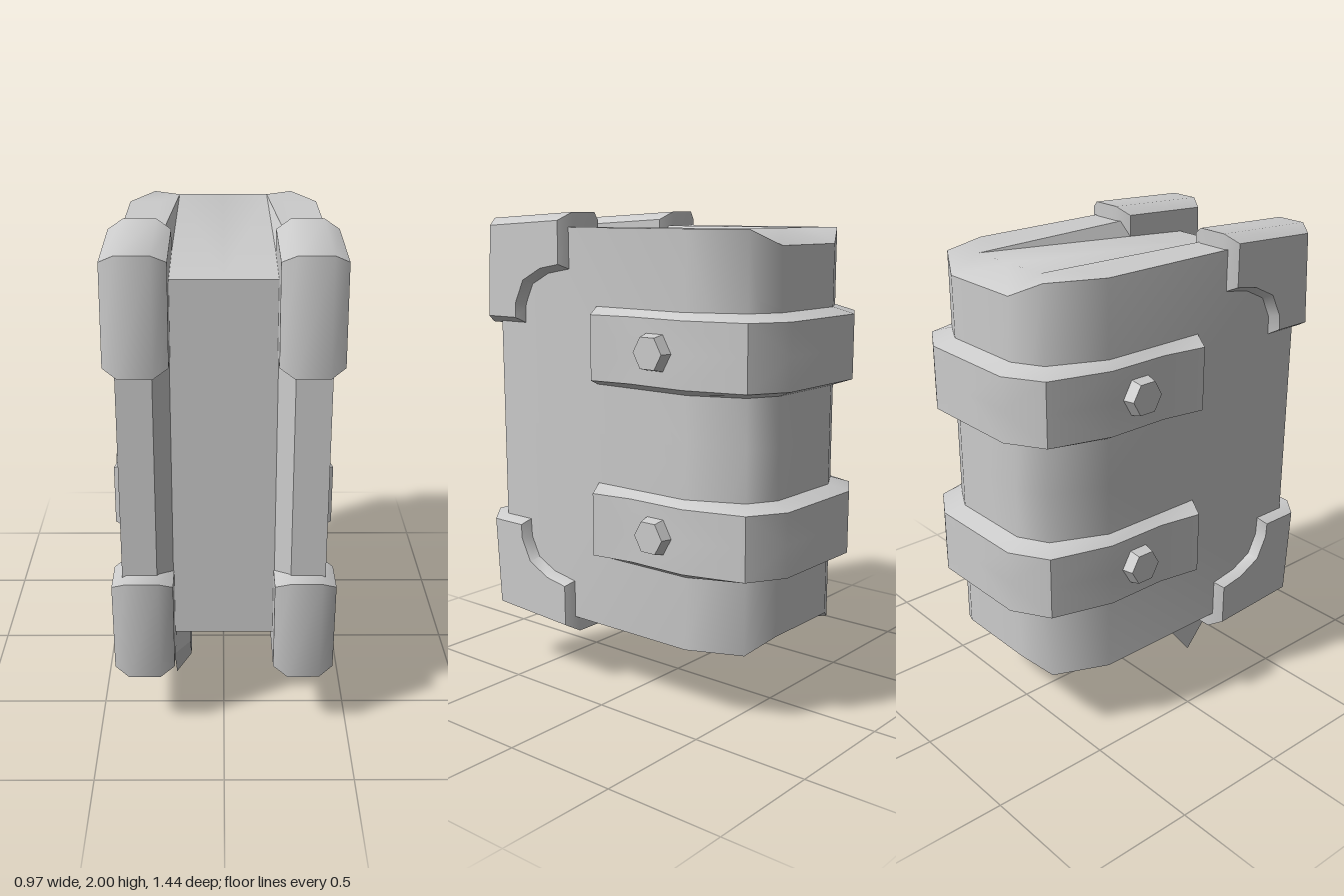
import * as THREE from 'three';
import { toCreasedNormals } from 'three/addons/utils/BufferGeometryUtils.js';

const material = new THREE.MeshStandardMaterial({ color: 0xcccccc });

function part(name, geometry, crease = 0.72) {
  const mesh = new THREE.Mesh(toCreasedNormals(geometry, crease), material);
  mesh.name = name;
  return mesh;
}

// Mirrors the faces of the upper left quarter (x > 0, y > 0) into all four quarters.
function fourfold(faces) {
  const out = [];
  for (const sx of [1, -1]) for (const sy of [1, -1]) {
    for (const face of faces) {
      for (let i = 1; i < face.length - 1; i++) {
        const tri = [face[0], face[i], face[i + 1]];
        if (sx * sy < 0) tri.reverse();
        for (const [x, y, z] of tri) out.push(x * sx, y * sy, z);
      }
    }
  }
  const geometry = new THREE.BufferGeometry();
  geometry.setAttribute('position', new THREE.Float32BufferAttribute(out, 3));
  return geometry;
}

// Vertical walls from each rim point down to the middle plane.
function walls(rim) {
  return rim.slice(1).map((b, i) => {
    const a = rim[i];
    return [a, [a[0], 0, a[2]], [b[0], 0, b[2]], b];
  });
}

// Covers, rounded spine and sloping page block in one shell.
function bookBody() {
  const h = 0.82;
  const o0 = [0.395, h, 0.65], o1 = [0.395, h, -0.36], o2 = [0.3, h, -0.58], o3 = [0.18, 0.76, -0.645];
  const i0 = [0.26, h, 0.65], i1 = [0.26, h, -0.36], i2 = [0.19, h, -0.51];
  const page = [0.2, 0.735, 0.56], pageMid = [0, 0.735, 0.56];
  const ridgeMid = [0, h, -0.51], spineMid = [0, 0.76, -0.645];
  return fourfold([
    [o0, o1, i1, i0], [o1, o2, i2, i1], [o2, o3, i2], // cover edges
    [o3, spineMid, ridgeMid, i2],                     // spine end
    [i2, ridgeMid, pageMid, page],                    // page edges
    [i0, i1, i2, page],                               // inside of cover
    ...walls([pageMid, page, i0, o0, o1, o2, o3, spineMid]),
  ]);
}

// Bevelled band wrapped round the spine.
function strapGeometry() {
  const inner = [[0.393, 0.095], [0.393, -0.12], [0.393, -0.36], [0.3, -0.58], [0.18, -0.643], [0, -0.643]]
    .map(([x, z]) => [x, 0.157, z]);
  const outer = [[0.47, 0.06], [0.44, -0.12], [0.44, -0.38], [0.37, -0.63], [0.22, -0.72], [0, -0.72]]
    .map(([x, z]) => [x, 0.13, z]);
  const bevels = outer.slice(1).map((p, i) => [inner[i], outer[i], p, inner[i + 1]]);
  return fourfold([...bevels, ...walls([inner[0], ...outer])]);
}

// Bevelled L-shaped corner guard, profile in (z, y), centred across its width.
function guardGeometry(flip) {
  const profile = [[0.72, 1.535], [0.695, 1.975], [0.235, 2.0], [0.235, 1.767],
    [0.36, 1.745], [0.45, 1.7], [0.49, 1.62], [0.495, 1.535]];
  const shape = new THREE.Shape(profile.map(([z, y]) =>
    new THREE.Vector2(-z, flip ? 2.234 - y : y)));
  const geometry = new THREE.ExtrudeGeometry(shape, {
    depth: 0.126, bevelEnabled: true, bevelThickness: 0.056,
    bevelSize: 0.032, bevelOffset: -0.032, bevelSegments: 1,
  });
  return geometry.translate(0, 0, -0.063).rotateY(Math.PI / 2);
}

// Pointed bookmark, wide on its outer face and narrower on its inner face.
function bookmarkGeometry() {
  const back = [[0.475, 0.45], [0.475, 0.22], [0.285, 0], [0.108, 0.22], [0.108, 0.45]];
  const front = [[0.425, 0.45], [0.425, 0.25], [0.285, 0.095], [0.155, 0.25], [0.155, 0.45]];
  const a = back.map(([z, y]) => [-0.205, y, z]);
  const b = front.map(([z, y]) => [-0.14, y, z]);
  const out = [];
  const tri = (...points) => points.forEach((p) => out.push(...p));
  for (let i = 0; i < 5; i++) {
    const j = (i + 1) % 5;
    tri(a[i], a[j], b[j]);
    tri(a[i], b[j], b[i]);
    if (i > 0 && i < 4) {
      tri(b[0], b[i], b[j]);
      tri(a[0], a[j], a[i]);
    }
  }
  const geometry = new THREE.BufferGeometry();
  geometry.setAttribute('position', new THREE.Float32BufferAttribute(out, 3));
  return geometry;
}

export function createModel() {
  const model = new THREE.Group();
  model.name = 'book';

  const body = part('coversAndPages', bookBody());
  body.position.y = 1.12;
  model.add(body);

  // Spine straps with a hexagonal bolt on each side
  for (const y of [1.477, 0.757]) {
    const strap = part('spineStrap', strapGeometry());
    strap.position.y = y;
    model.add(strap);
    for (const side of [1, -1]) {
      const bolt = part('strapBolt', new THREE.CylinderGeometry(0.07, 0.087, 0.065, 6), 0.3);
      bolt.rotation.z = -side * Math.PI / 2;
      bolt.position.set(side * 0.452, y + 0.002, -0.245);
      model.add(bolt);
    }
  }

  // Corner guards on the front corners of both covers
  for (const flip of [false, true]) {
    for (const side of [1, -1]) {
      const guard = part('cornerGuard', guardGeometry(flip));
      guard.position.x = side * 0.316;
      model.add(guard);
    }
  }

  model.add(part('bookmark', bookmarkGeometry(), 0.3));
  return model;
}
